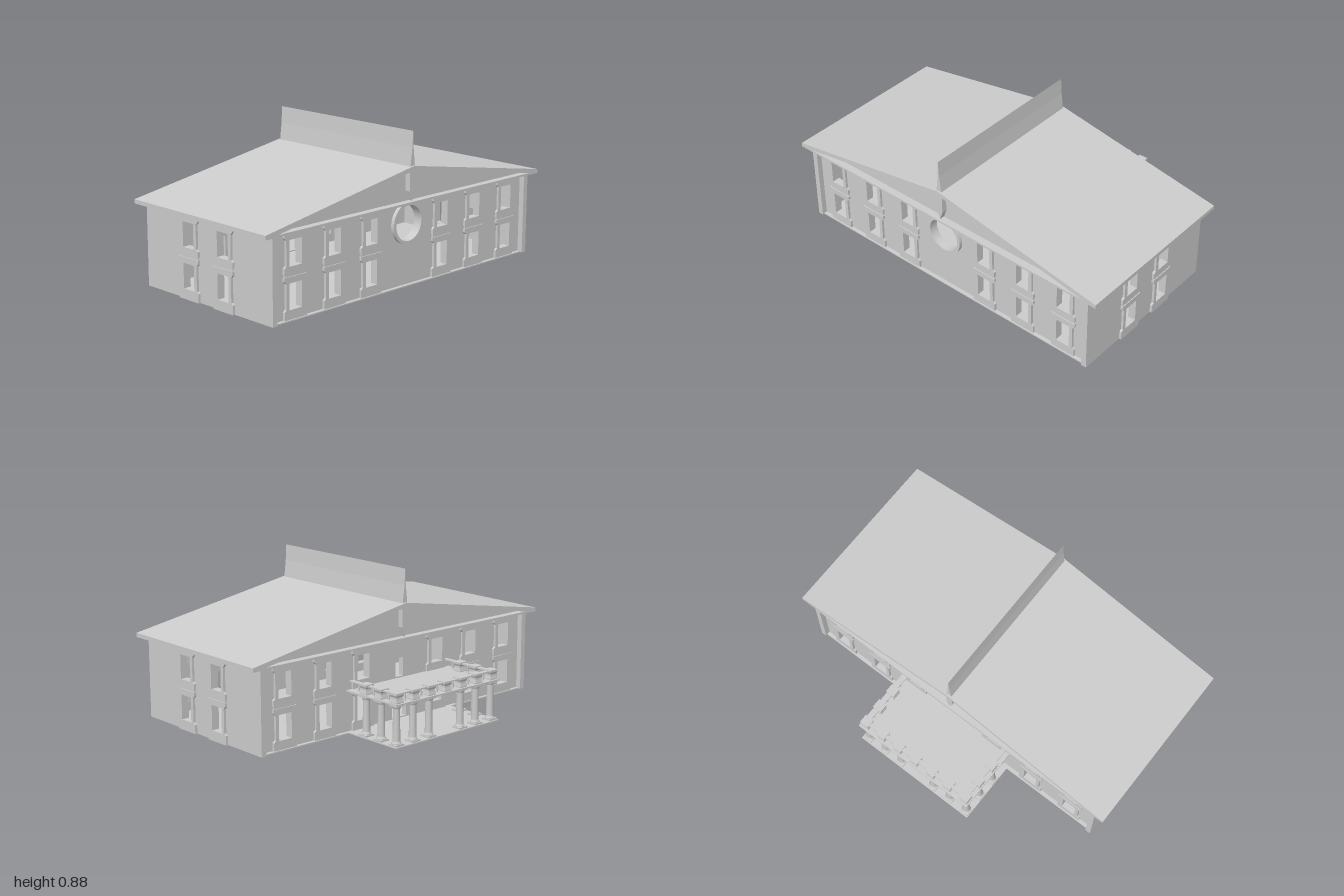
import * as THREE from 'three';

const mat = new THREE.MeshStandardMaterial({ color: 0xcccccc, flatShading: true, side: THREE.DoubleSide });
const smooth = new THREE.MeshStandardMaterial({ color: 0xcccccc, side: THREE.DoubleSide });

function add(parent, name, geo, x = 0, y = 0, z = 0, m = mat) {
  const mesh = new THREE.Mesh(geo, m);
  mesh.name = name;
  mesh.position.set(x, y, z);
  parent.add(mesh);
  return mesh;
}

// box given by its extents
function box(parent, name, x0, x1, y0, y1, z0, z1) {
  return add(parent, name, new THREE.BoxGeometry(x1 - x0, y1 - y0, z1 - z0),
    (x0 + x1) / 2, (y0 + y1) / 2, (z0 + z1) / 2);
}

const poly = (pts) => new THREE.Shape(pts.map(([x, y]) => new THREE.Vector2(x, y)));
const rect = (x, y0, y1, w) => poly([[x - w / 2, y0], [x + w / 2, y0], [x + w / 2, y1], [x - w / 2, y1]]);
const extrude = (shape, depth) =>
  new THREE.ExtrudeGeometry(shape, { depth, bevelEnabled: false, curveSegments: 24 });

const FLOOR = 0.068, TOP = 0.507, WIN = 0.08;
const STOREYS = [
  { y0: FLOOR, y1: 0.286, w0: 0.122, w1: 0.254 },
  { y0: 0.3, y1: TOP, w0: 0.336, w1: 0.466 },
];

// eared window surround that widens at foot and head
function surround(parent, u, s, d) {
  const a = 0.072, b = 0.06;
  const half = [[a, s.y0], [a, s.w0 - 0.006], [b, s.w0 + 0.004], [b, s.w1], [a, s.w1 + 0.012], [a, s.y1]];
  const shape = poly([...half, ...half.map(([x, y]) => [-x, y]).reverse()]);
  shape.holes.push(rect(0, s.w0, s.w1, WIN));
  add(parent, 'windowSurround', extrude(shape, 0.013), u, 0, d);
}

// one wall with two storeys of windows; outer face at distance d from the house centre
function wall(parent, name, halfWidth, d, centres, angle, openings = []) {
  const g = new THREE.Group();
  g.name = name;
  const shape = rect(0, FLOOR, TOP, halfWidth * 2);
  shape.holes.push(...openings);
  for (const u of centres) {
    for (const s of STOREYS) {
      shape.holes.push(rect(u, s.w0, s.w1, WIN));
      surround(g, u, s, d);
    }
    box(g, 'windowBand', u - 0.066, u + 0.066, 0.286, 0.3, d, d + 0.008);
  }
  add(g, 'wallPanel', extrude(shape, 0.03), 0, 0, d - 0.03);
  g.rotation.y = angle;
  parent.add(g);
  return g;
}

function buildHouse(root) {
  const house = new THREE.Group();
  house.name = 'house';
  house.position.x = 0.16;
  root.add(house);

  const endWindows = [-0.129, 0.129];
  const sideWindows = [0.777, 0.517, 0.2625].flatMap((u) => [u, -u]);
  wall(house, 'frontWall', 0.47, 0.94, endWindows, 0);
  wall(house, 'backWall', 0.47, 0.94, endWindows, Math.PI);

  // gable wall with the round window
  const round = new THREE.Path().absarc(0, 0.4, 0.093, 0, Math.PI * 2);
  const right = wall(house, 'roundWindowWall', 0.91, 0.44, sideWindows, Math.PI / 2, [round]);
  const ring = new THREE.Shape().absarc(0, 0.4, 0.11, 0, Math.PI * 2);
  ring.holes.push(round);
  add(right, 'roundWindowRing', extrude(ring, 0.02), 0, 0, 0.44);

  // gable wall with the entrance and balcony doors
  wall(house, 'entranceWall', 0.91, 0.44, sideWindows, -Math.PI / 2,
    [rect(0, 0.08, 0.24, 0.1), rect(0, 0.3, 0.4, 0.054)]);

  box(house, 'floor', -0.46, 0.46, FLOOR, 0.074, -0.93, 0.93);

  // roof: gabled frame along x, with set-back gable faces
  const frame = poly([[-1, 0.506], [1, 0.506], [1, 0.528], [0, 0.7], [-1, 0.528]]);
  frame.holes.push(poly([[-0.92, 0.517], [0.92, 0.517], [0, 0.677]]));
  const roof = add(house, 'roof', extrude(frame, 0.98), -0.49);
  roof.rotation.y = Math.PI / 2;
  const gable = add(house, 'gableFaces', extrude(poly([[-0.92, 0.517], [0.92, 0.517], [0, 0.677]]), 0.9), -0.45);
  gable.rotation.y = Math.PI / 2;

  // tapering blade along the ridge
  const bladeHalf = [[0.018, 0.57], [0.018, 0.68], [0.005, 0.79]];
  const blade = poly([[0, 0.52], ...bladeHalf, [0, 0.877], ...bladeHalf.map(([x, y]) => [-x, y]).reverse()]);
  add(house, 'ridgeBlade', extrude(blade, 0.96), -0.48).rotation.y = Math.PI / 2;
}

function column(parent, x, z) {
  const g = new THREE.Group();
  g.name = 'column';
  g.position.set(x, 0, z);
  box(g, 'plinth', -0.028, 0.028, 0.074, 0.083, -0.028, 0.028);
  const profile = [[0.025, 0.083], [0.026, 0.088], [0.02, 0.093], [0.02, 0.1], [0.017, 0.262], [0.021, 0.266], [0.024, 0.276]];
  add(g, 'shaft', new THREE.LatheGeometry(profile.map(([r, y]) => new THREE.Vector2(r, y)), 16), 0, 0, 0, smooth);
  box(g, 'capital', -0.027, 0.027, 0.276, 0.285, -0.027, 0.027);
  parent.add(g);
}

// square balcony post with a narrowed waist
function post(parent, x, z) {
  const r = Math.SQRT2;
  const profile = [[0, 0.29], [0.025, 0.29], [0.025, 0.298], [0.021, 0.315], [0.021, 0.324], [0.026, 0.334], [0.026, 0.345], [0, 0.345]];
  const geo = new THREE.LatheGeometry(profile.map(([w, y]) => new THREE.Vector2(w * r, y)), 4).rotateY(Math.PI / 4);
  add(parent, 'balconyPost', geo, x, 0, z);
}

function baluster(parent, x, z) {
  const profile = [[0.008, 0.292], [0.004, 0.303], [0.008, 0.316], [0.004, 0.326], [0.007, 0.334]];
  add(parent, 'baluster', new THREE.LatheGeometry(profile.map(([w, y]) => new THREE.Vector2(w, y)), 8), x, 0, z, smooth);
}

function buildPortico(root) {
  const g = new THREE.Group();
  g.name = 'portico';
  root.add(g);
  const X = -0.615, Z = 0.335;
  box(g, 'porticoFloor', -0.65, -0.28, FLOOR, 0.074, -0.367, 0.367);
  box(g, 'balconySlab', -0.65, -0.28, 0.285, 0.293, -0.367, 0.367);
  box(g, 'entranceStep', -0.317, -0.254, 0, 0.066, -0.143, 0.143);

  // outer row; the middle bay stays open for the entrance
  for (let i = -3; i <= 3; i++) {
    const z = (i * Z) / 3;
    if (i !== 0) column(g, X, z);
    post(g, X, z);
    if (i < 3) baluster(g, X, z + Z / 6);
  }
  box(g, 'outerRail', X - 0.012, X + 0.012, 0.333, 0.34, -Z, Z);

  // returns to the house
  for (const z of [-Z, Z]) {
    for (const x of [-0.505, -0.395]) {
      column(g, x, z);
      post(g, x, z);
    }
    for (const x of [-0.56, -0.45, -0.34]) baluster(g, x, z);
    box(g, 'sideRail', X, -0.28, 0.333, 0.34, z - 0.012, z + 0.012);
  }
}

export function createModel() {
  const root = new THREE.Group();
  root.name = 'gabledHouse';
  buildHouse(root);
  buildPortico(root);
  return root;
}
